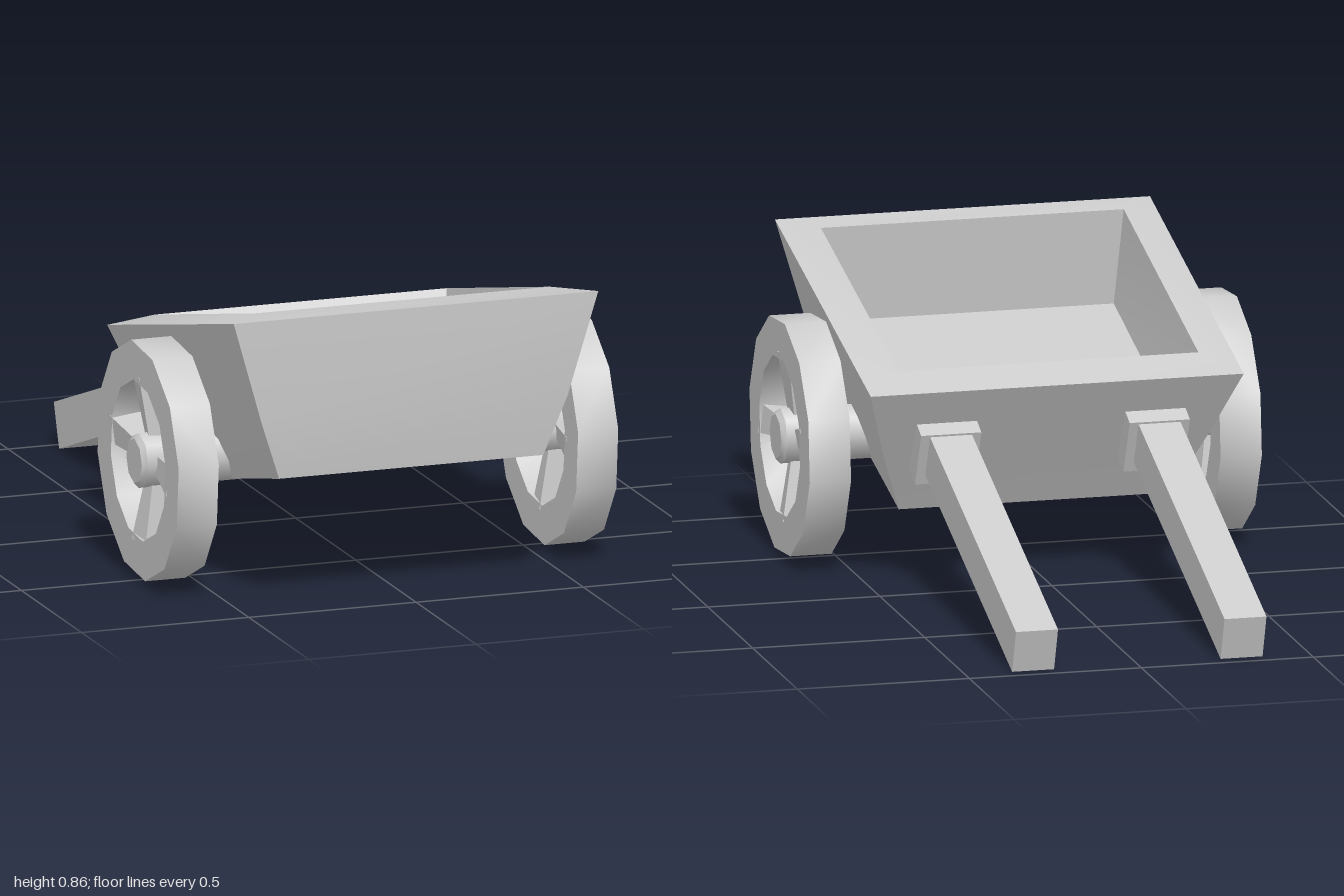
import * as THREE from 'three';
import { toCreasedNormals, mergeGeometries } from 'three/addons/utils/BufferGeometryUtils.js';

const material = new THREE.MeshStandardMaterial({ color: 0xcccccc });

function addPart(parent, name, geometry) {
  const mesh = new THREE.Mesh(geometry, material);
  mesh.name = name;
  parent.add(mesh);
  return mesh;
}

// Four corners of a sloping, left-right symmetrical rectangle
const ring = (frontX, frontY, frontZ, rearX, rearY, rearZ) => [
  [frontX, frontY, frontZ], [rearX, rearY, rearZ],
  [-rearX, rearY, rearZ], [-frontX, frontY, frontZ],
];

// Hollow tub: bottom, slightly bulging waist, outer rim, raised inner rim, floor
function tubGeometry() {
  const rings = [
    ring(0.395, 0.384, 0.96, 0.395, 0.2, 0.193),
    ring(0.458, 0.56, 0.988, 0.475, 0.4, 0.066),
    ring(0.545, 0.857, 1.0, 0.542, 0.595, -0.06),
    ring(0.44, 0.852, 0.89, 0.436, 0.64, 0.04),
    ring(0.422, 0.57, 0.932, 0.39, 0.425, 0.16),
  ];
  const positions = [];
  const quad = (a, b, c, d) => positions.push(...a, ...b, ...c, ...a, ...c, ...d);
  for (let r = 0; r < rings.length - 1; r++) {
    for (let i = 0; i < 4; i++) {
      const j = (i + 1) % 4;
      quad(rings[r][i], rings[r][j], rings[r + 1][j], rings[r + 1][i]);
    }
  }
  quad(...rings[4]);
  quad(...rings[0].reverse());
  const geometry = new THREE.BufferGeometry();
  geometry.setAttribute('position', new THREE.Float32BufferAttribute(positions, 3));
  return toCreasedNormals(geometry, 0.4);
}

// Twelve-sided wheel rim with a twelve-sided opening
function rimGeometry() {
  const polygon = (radius) => Array.from({ length: 12 }, (_, i) => {
    const angle = 1.4 + (i * Math.PI) / 6;
    return new THREE.Vector2(radius * Math.cos(angle), radius * Math.sin(angle));
  });
  const shape = new THREE.Shape(polygon(0.342));
  shape.holes.push(new THREE.Path(polygon(0.23)));
  const geometry = new THREE.ExtrudeGeometry(shape, { depth: 0.12, bevelEnabled: false });
  geometry.translate(0, 0, -0.06).rotateY(Math.PI / 2);
  return toCreasedNormals(geometry, 0.6);
}

// Four unevenly set, slightly twisted spokes that flare towards the rim
function spokesGeometry() {
  const spokes = [-0.08, 1.62, 3.19, -1.4].map((angle) => {
    const spoke = new THREE.BoxGeometry(0.085, 0.18, 0.115).toNonIndexed();
    const p = spoke.attributes.position;
    for (let v = 0; v < p.count; v++) {
      if (p.getY(v) < 0) p.setXYZ(v, p.getX(v) * 0.55, p.getY(v), p.getZ(v) * 0.5);
    }
    spoke.computeVertexNormals();
    spoke.rotateY(0.13).translate(0, 0.15, 0);
    return spoke.rotateZ(angle).rotateY(Math.PI / 2);
  });
  return mergeGeometries(spokes);
}

export function createModel() {
  const cart = new THREE.Group();
  cart.name = 'handcart';

  addPart(cart, 'tub', tubGeometry());

  // Axle running through the tub and both hubs
  const axleY = 0.352, axleZ = 0.517;
  const axle = addPart(cart, 'axle', toCreasedNormals(
    new THREE.CylinderGeometry(0.08, 0.08, 1.31, 8).rotateZ(Math.PI / 2), 0.9));
  axle.position.set(0, axleY, axleZ);

  const rim = rimGeometry();
  const spokes = spokesGeometry();
  const hubCap = toCreasedNormals(
    new THREE.CylinderGeometry(0.065, 0.08, 0.014, 8).rotateZ(-Math.PI / 2), 0.6);
  for (const side of [1, -1]) {
    const label = side > 0 ? 'left' : 'right';

    // Wheel with bevelled hub cap, mirrored on the other side
    const wheel = new THREE.Group();
    wheel.name = label + 'Wheel';
    wheel.position.set(side * 0.597, axleY, axleZ);
    wheel.scale.x = side;
    addPart(wheel, 'rim', rim);
    addPart(wheel, 'spokes', spokes);
    addPart(wheel, 'hubCap', hubCap).position.x = 0.065;
    cart.add(wheel);

    // Sloping handle with a collar against the rear wall
    const handle = new THREE.Group();
    handle.name = label + 'Handle';
    handle.position.set(side * 0.303, 0.412, 0.022);
    handle.rotation.x = -0.336;
    addPart(handle, 'bar', new THREE.BoxGeometry(0.122, 0.133, 1.11)).position.z = -0.503;
    const collar = addPart(handle, 'collar', new THREE.BoxGeometry(0.175, 0.172, 0.068));
    collar.position.y = -0.01;
    collar.rotation.x = -0.08;
    cart.add(handle);
  }
  return cart;
}
